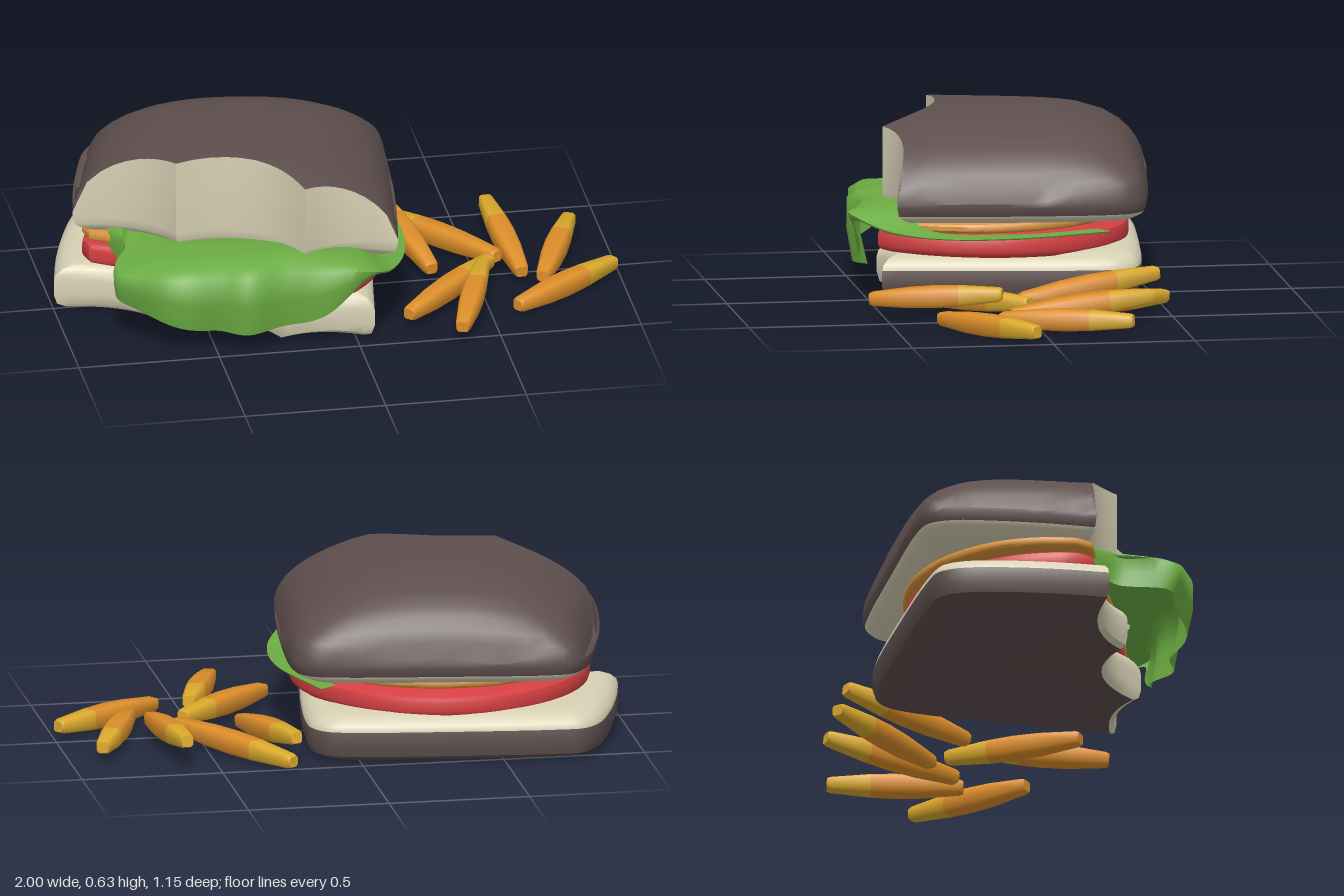
import * as THREE from 'three';
import { toCreasedNormals } from 'three/addons/utils/BufferGeometryUtils.js';

const mat = (name, color, side = THREE.FrontSide) => {
  const m = new THREE.MeshStandardMaterial({ color, side });
  m.name = name;
  return m;
};

// Skins a stack of rings; pick(i, j) gives the material index of each quad.
function loft(rings, pick, closed = true, crease = 0.65) {
  const n = rings[0].length, lists = [[], []];
  for (let i = 0; i < rings.length - 1; i++) {
    for (let j = 0; j < (closed ? n : n - 1); j++) {
      const k = (j + 1) % n, a = i * n + j, b = i * n + k;
      lists[pick(i, j)].push(b, a, a + n, b, a + n, b + n);
    }
  }
  const g = new THREE.BufferGeometry();
  g.setAttribute('position', new THREE.Float32BufferAttribute(rings.flat(2), 3));
  g.setIndex(lists.flat());
  g.addGroup(0, lists[0].length, 0);
  if (lists[1].length) g.addGroup(lists[0].length, lists[1].length, 1);
  return toCreasedNormals(g, crease);
}

// Slice outline: smooth crust edge followed by three concave bites.
function sliceOutline(edge, bites) {
  const crust = new THREE.CatmullRomCurve3(edge.map(([x, z]) => new THREE.Vector3(x, 0, z)));
  const pts = crust.getPoints(52).map(p => ({ x: p.x, z: p.z, bite: false }));
  let from = edge[edge.length - 1];
  bites.forEach(([cx, cz, x, z], b) => {
    const arc = new THREE.QuadraticBezierCurve(
      new THREE.Vector2(...from), new THREE.Vector2(cx, cz), new THREE.Vector2(x, z));
    arc.getPoints(9).slice(1, b === 2 ? 9 : 10).forEach(p => pts.push({ x: p.x, z: p.y, bite: true }));
    from = [x, z];
  });
  return pts;
}

const ringAt = (outline, cx, cz, s, yOf) => outline.map(p => {
  const x = cx + (p.x - cx) * s, z = cz + (p.z - cz) * s;
  return [x, typeof yOf === 'number' ? yOf : yOf(x, z, p), z];
});

// Domed height of the upper bun, falling to both sides, to the back and a little to the front.
function domeY(x, z) {
  const left = -0.93 - 0.3 * z, right = 0.2 - 0.12 * z;
  const u = Math.min(1, Math.abs(2 * (x - left) / (right - left) - 1));
  const back = -0.58 + 0.14 * (x + 0.66);
  const v = Math.min(1, Math.max(0, 1 - (z - back) / 0.6));
  const front = 0.5 * Math.max(0, z - 0.2) ** 2;
  return 0.37 + (0.27 - front) * Math.sqrt((1 - u ** 2.4) * (1 - v ** 4.4));
}

export function createModel() {
  const crust = mat('dark crust', 0x5e4f4e);
  const crumb = mat('cream crumb', 0xd8d1b5);
  const green = mat('lettuce green', 0x6cad43, THREE.DoubleSide);
  const red = mat('tomato red', 0xd43f42);
  const cheese = mat('cheese orange', 0xd8923c);
  const fryOrange = mat('fry orange', 0xde8f2a);
  const fryGold = mat('fry gold', 0xdcaa2c);

  const model = new THREE.Group();
  model.name = 'sandwichWithFries';
  const add = (name, geometry, material) => {
    const mesh = new THREE.Mesh(geometry, material);
    mesh.name = name;
    model.add(mesh);
    return mesh;
  };

  // Upper bun
  const top = sliceOutline(
    [[-0.93, -0.01], [-0.9, -0.17], [-0.85, -0.36], [-0.8, -0.5], [-0.74, -0.57], [-0.66, -0.58], [-0.3, -0.535],
      [0.09, -0.475], [0.17, -0.45], [0.215, -0.4], [0.23, -0.32], [0.22, -0.1], [0.19, 0.17], [0.15, 0.42]],
    [[-0.02, 0.33, -0.18, 0.42], [-0.3, 0.14, -0.6, 0.2], [-0.7, 0.03, -0.93, -0.01]]);
  const under = [[0, 0.295], [0.9, 0.3], [0.965, 0.318], [0.985, 0.33], [1, 0.36]];
  const topRings = under.map(([s, y]) => ringAt(top, -0.35, -0.1, s, y));
  [1, 0.985, 0.96, 0.92, 0.86, 0.78, 0.65, 0.45, 0.22, 0].forEach(s => topRings.push(
    ringAt(top, -0.35, -0.1, s, (x, z, p) => (s === 1 && !p.bite ? 0.375 : domeY(x, z)))));
  add('upperBun', loft(topRings, (i, j) => {
    const bitten = top[j].bite || top[(j + 1) % top.length].bite;
    return i < 3 || (i < 5 && bitten) ? 1 : 0;
  }, true, 0.9), [crust, crumb]);

  // Lower bun
  const low = sliceOutline(
    [[-1, 0.01], [-0.96, -0.17], [-0.9, -0.36], [-0.84, -0.49], [-0.78, -0.545], [-0.7, -0.55], [-0.3, -0.51],
      [0.04, -0.46], [0.12, -0.43], [0.16, -0.37], [0.165, -0.28], [0.14, -0.05], [0.1, 0.2], [0.06, 0.46]],
    [[-0.1, 0.37, -0.25, 0.43], [-0.38, 0.15, -0.65, 0.22], [-0.75, 0.04, -1, 0.01]]);
  const lowRings = [[0, 0.018], [0.93, 0.02], [0.98, 0.035], [1, 0.07], [1, 0.125], [0.988, 0.145], [0.95, 0.164],
    [0.89, 0.176], [0.8, 0.18], [0, 0.18]].map(([s, y]) => ringAt(low, -0.4, -0.07, s, y));
  add('lowerBun', loft(lowRings, (i, j) => {
    const bitten = low[j].bite || low[(j + 1) % low.length].bite;
    return i > 3 || (i > 0 && bitten) ? 1 : 0;
  }), [crust, crumb]);

  // Round filling slices, cut back along the bite
  const round = [];
  for (let k = 0; k < 56; k++) {
    const a = k / 56 * Math.PI * 2;
    let r = 0.53, x, z;
    do {
      x = -0.37 + r * Math.cos(a);
      z = 0.055 + r * Math.sin(a);
      r -= 0.005;
    } while (z > 0.46 || z > 0.5 + 0.573 * x);
    round.push({ x, z });
  }
  const slice = (name, y0, y1, tilt, material) => {
    const h = y1 - y0;
    const rings = [[0, 0], [0.97, 0], [0.99, 0.1], [1, 0.3], [1, 0.7], [0.99, 0.9], [0.965, 1], [0, 1]]
      .map(([s, t]) => ringAt(round, -0.37, -0.02, s, (x, z) => y0 + h * t + tilt * z));
    add(name, loft(rings, () => 0), material);
  };
  slice('tomato', 0.174, 0.248, 0.02, red);
  slice('cheese', 0.264, 0.3, -0.01, cheese);

  // Lettuce columns: inner x, z, outer x, z, lip height, hem height
  const columns = [
    [-0.82, -0.1, -0.81, 0.02, 0.31, 0.25], [-0.76, -0.04, -0.77, 0.14, 0.325, 0.2],
    [-0.7, 0.03, -0.84, 0.32, 0.3, 0.18], [-0.62, 0.08, -0.71, 0.43, 0.325, 0.13],
    [-0.53, 0.12, -0.52, 0.48, 0.335, 0.09], [-0.4, 0.14, -0.4, 0.5, 0.345, 0.085],
    [-0.26, 0.2, -0.24, 0.5, 0.345, 0.1], [-0.1, 0.28, -0.09, 0.53, 0.345, 0.17],
    [0.0, 0.28, 0.03, 0.57, 0.335, 0.3], [0.08, 0.25, 0.12, 0.45, 0.28, 0.265],
    [0.12, 0.12, 0.2, 0.27, 0.258, 0.252], [0.13, -0.06, 0.22, 0.0, 0.257, 0.25],
    [0.06, -0.3, 0.12, -0.34, 0.256, 0.25]];
  // Each row: reach from inner to outer, drop from lip to hem, ripple
  const rows = [[0, 0, 0], [0.35, 0, 0], [0.65, 0, 0.003], [0.92, 0.03, 0.006], [1.01, 0.13, 0.01],
    [1.0, 0.55, 0.015], [0.93, 1, 0.02]];
  const leaf = rows.map(([reach, drop, wave], r) => {
    const curve = new THREE.CatmullRomCurve3(columns.map(([ix, iz, ox, oz, lip, hem]) => {
      const y = r === 0 ? (lip < 0.3 ? 0.255 : 0.31) : lip + (hem - lip) * drop;
      return new THREE.Vector3(ix + (ox - ix) * reach, y, iz + (oz - iz) * reach);
    }));
    return Array.from({ length: 85 }, (_, k) => {
      const p = curve.getPoint(k / 84);
      const fade = Math.sin(Math.PI * Math.min(1, k / 60));
      return [p.x, p.y, p.z + wave * fade * Math.sin(k * 0.55 + 1)];
    });
  });
  add('lettuce', loft(leaf, () => 0, false, 1.2), green);

  // Fries: rounded square section, thick in the middle, blunt ends, gold at one end
  const section = [[1, -0.68], [1, 0.68], [0.68, 1], [-0.68, 1], [-1, 0.68], [-1, -0.68], [-0.68, -1], [0.68, -1]];
  const profile = [[0, 0], [0, 0.52], [0.025, 0.64], [0.3, 0.93], [0.5, 1], [0.68, 0.93], [0.975, 0.64], [1, 0.52], [1, 0]];
  const fries = [ // orange end x, y, z, then gold end x, y, z
    [0.345, 0.06, 0.015, 0.235, 0.125, -0.49],
    [0.585, 0.07, -0.025, 0.25, 0.045, -0.515],
    [0.65, 0.06, 0.095, 0.61, 0.11, -0.415],
    [0.715, 0.06, 0.145, 0.89, 0.07, -0.3],
    [0.195, 0.065, 0.38, 0.55, 0.08, 0.015],
    [0.355, 0.08, 0.55, 0.51, 0.11, 0.105],
    [0.59, 0.046, 0.335, 0.985, 0.055, 0.055]];
  fries.forEach(([x0, y0, z0, x1, y1, z1], f) => {
    const a = new THREE.Vector3(x0, y0, z0), b = new THREE.Vector3(x1, y1, z1);
    const length = a.distanceTo(b);
    const rings = profile.map(([t, s]) => section.map(([x, z]) => [x * s * 0.038, (t - 0.5) * length, z * s * 0.037]));
    const g = loft(rings, i => (i >= 5 ? 1 : 0), true, 0.85);
    g.rotateX(Math.PI / 2);
    const fry = add('fry' + (f + 1), g, [fryOrange, fryGold]);
    fry.position.copy(a).lerp(b, 0.5);
    fry.lookAt(b);
  });

  return model;
}
